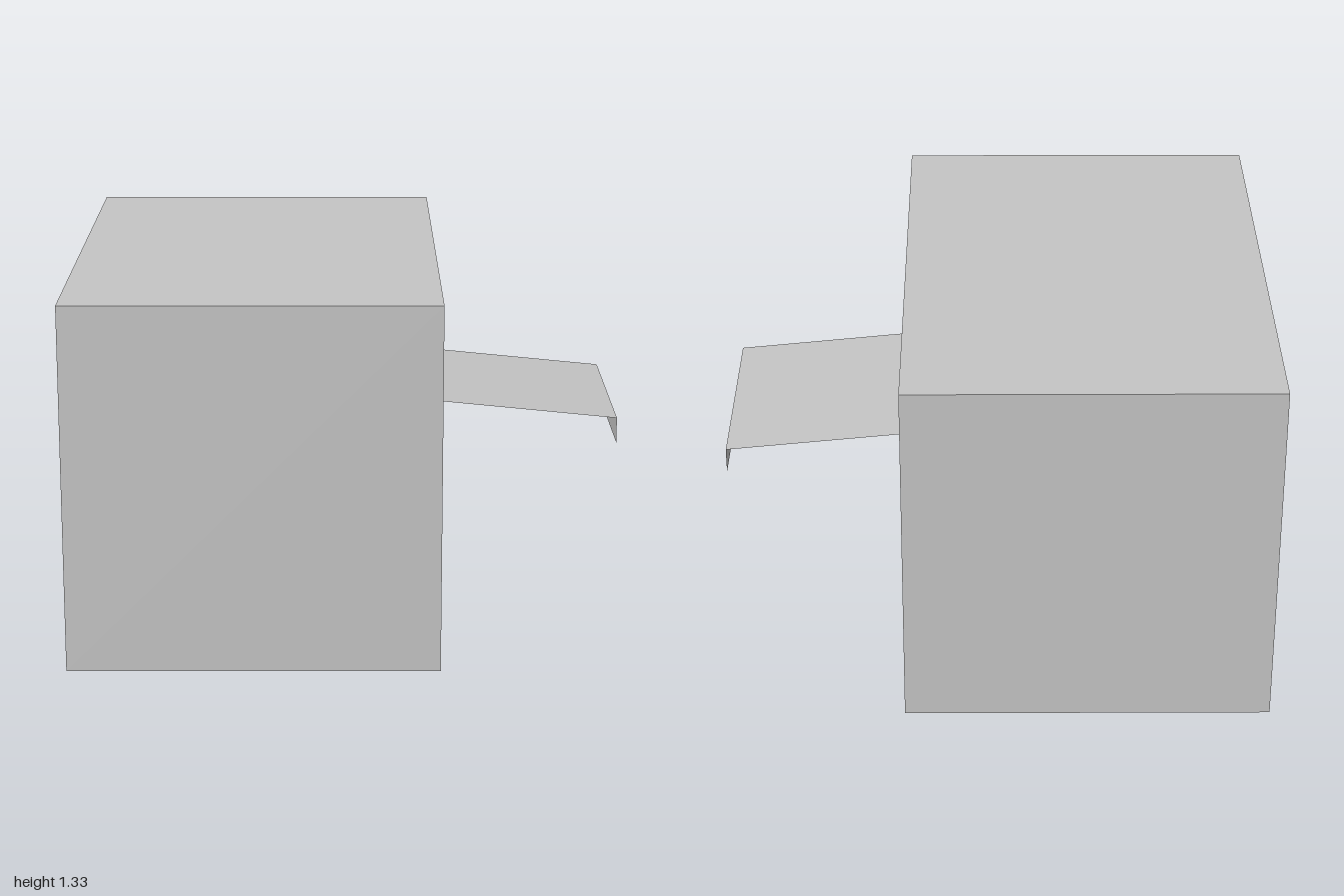
import * as THREE from 'three';

const WALL_X = 0.333, BACK_X = -1, HEIGHT = 1.333, DEPTH = 0.167;

const grey = new THREE.MeshStandardMaterial({ color: 0xc4c4c4, side: THREE.DoubleSide });
grey.name = 'wall grey';
const black = new THREE.MeshStandardMaterial({ color: 0x232323, side: THREE.DoubleSide });
black.name = 'opening black';

// Openings in the facade, as z and y ranges
const openings = [
  { name: 'leftWindow', z0: 0.4, z1: 0.8, y0: 0.127, y1: 0.833 },
  { name: 'door', z0: -0.2, z1: 0.2, y0: 0, y1: 0.642 },
  { name: 'rightWindow', z0: -0.8, z1: -0.4, y0: 0.132, y1: 0.833 },
];

// Flat sheet facing +z, turned by the given angles
function sheet(name, w, h, material, position, rx = 0, ry = 0) {
  const mesh = new THREE.Mesh(new THREE.PlaneGeometry(w, h), material);
  mesh.name = name;
  mesh.position.set(...position);
  mesh.rotation.set(rx, ry, 0);
  return mesh;
}

// Facade outline in (-z, y): the doorway cuts the lower edge, the windows are holes
function buildFacade() {
  const door = openings[1];
  const outline = [
    [-1, 0], [-door.z1, 0], [-door.z1, door.y1], [-door.z0, door.y1], [-door.z0, 0],
    [1, 0], [1, HEIGHT], [-1, HEIGHT],
  ];
  const shape = new THREE.Shape(outline.map(([x, y]) => new THREE.Vector2(x, y)));
  for (const o of [openings[0], openings[2]]) {
    const corners = [[-o.z1, o.y0], [-o.z1, o.y1], [-o.z0, o.y1], [-o.z0, o.y0]];
    shape.holes.push(new THREE.Path(corners.map(([x, y]) => new THREE.Vector2(x, y))));
  }
  const facade = new THREE.Mesh(new THREE.ShapeGeometry(shape), grey);
  facade.name = 'facade';
  facade.rotation.y = Math.PI / 2;
  facade.position.x = WALL_X;
  return facade;
}

// Recess behind an opening: sill, head, two jambs and a dark back panel
function buildRecess({ name, z0, z1, y0, y1 }) {
  const group = new THREE.Group();
  group.name = name;
  const x = WALL_X - DEPTH / 2, y = (y0 + y1) / 2, z = (z0 + z1) / 2;
  const w = z1 - z0, h = y1 - y0;
  group.add(
    sheet('sill', DEPTH, w, grey, [x, y0, z], -Math.PI / 2),
    sheet('head', DEPTH, w, grey, [x, y1, z], Math.PI / 2),
    sheet('leftJamb', DEPTH, h, grey, [x, y, z1], 0, Math.PI),
    sheet('rightJamb', DEPTH, h, grey, [x, y, z0]),
    sheet('panel', w, h, black, [WALL_X - DEPTH, y, z], 0, Math.PI / 2),
  );
  return group;
}

// Thin sloping canopy over the door, with a hanging front lip
function buildCanopy() {
  const group = new THREE.Group();
  group.name = 'canopy';
  const top = 0.833, edge = 0.767, bottom = 0.672;
  const run = 1 - WALL_X, drop = top - edge;
  const roof = sheet('canopyRoof', Math.hypot(run, drop), 0.8, grey,
    [WALL_X + run / 2, (top + edge) / 2, 0]);
  roof.rotation.order = 'ZYX';
  roof.rotation.set(-Math.PI / 2, 0, -Math.atan2(drop, run));
  const lip = sheet('canopyLip', 0.8, edge - bottom, grey,
    [1, (edge + bottom) / 2, 0], 0, Math.PI / 2);
  group.add(roof, lip);
  return group;
}

export function createModel() {
  const model = new THREE.Group();
  model.name = 'building';
  const width = WALL_X - BACK_X, midX = (WALL_X + BACK_X) / 2;

  // Hollow shell, open underneath
  model.add(
    sheet('sideWallFront', width, HEIGHT, grey, [midX, HEIGHT / 2, 1]),
    sheet('sideWallBack', width, HEIGHT, grey, [midX, HEIGHT / 2, -1], 0, Math.PI),
    sheet('rearWall', 2, HEIGHT, grey, [BACK_X, HEIGHT / 2, 0], 0, -Math.PI / 2),
    sheet('roof', width, 2, grey, [midX, HEIGHT, 0], -Math.PI / 2),
    buildFacade(),
  );

  for (const o of openings) model.add(buildRecess(o));
  model.add(buildCanopy());
  return model;
}
